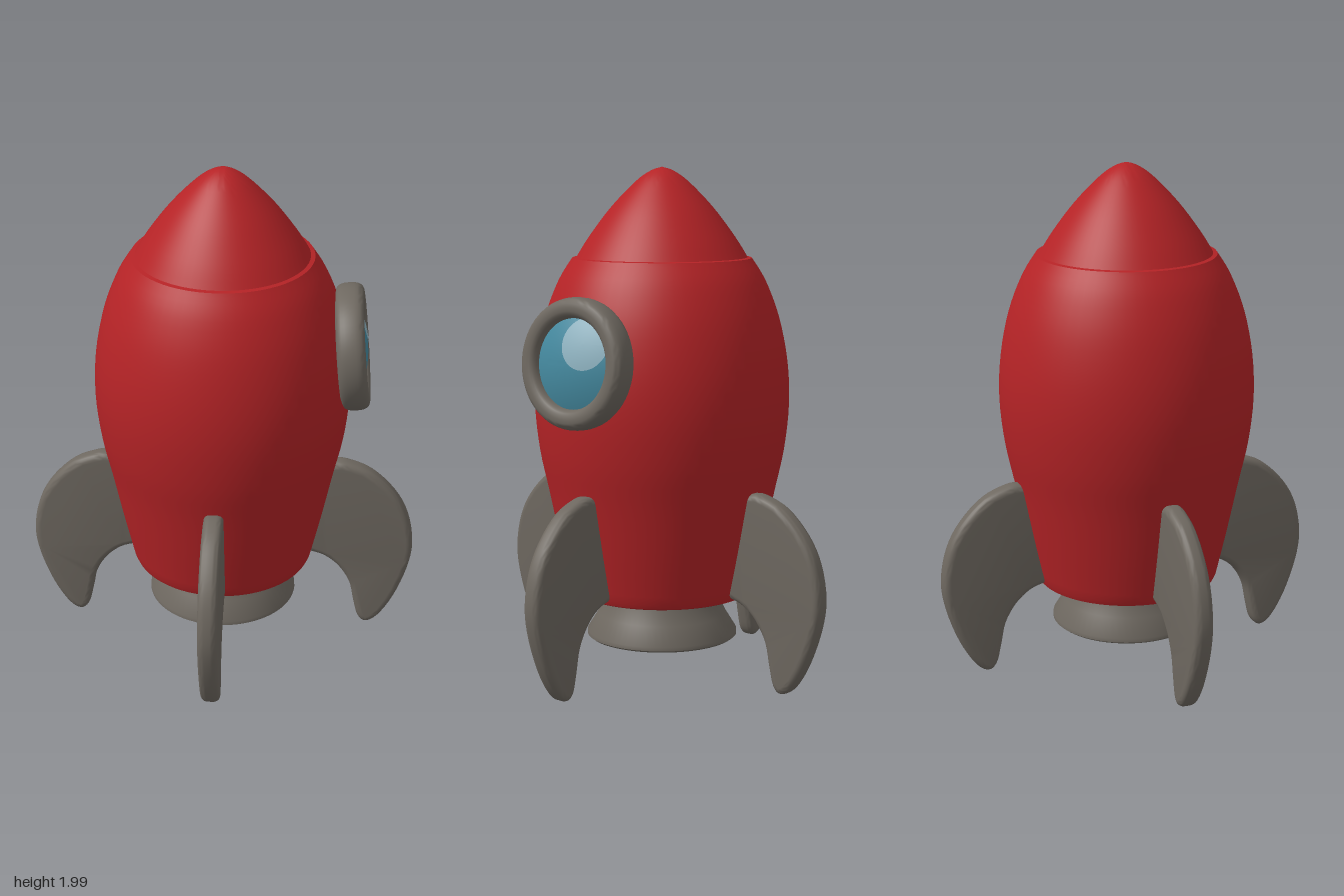
import * as THREE from 'three';
import { toCreasedNormals } from 'three/addons/utils/BufferGeometryUtils.js';

const paint = (name, color) => {
  const m = new THREE.MeshStandardMaterial({ color });
  m.name = name;
  return m;
};

const vec = (pts) => pts.map(([x, y]) => new THREE.Vector2(x, y));
const smooth = (pts, n) => new THREE.SplineCurve(vec(pts)).getPoints(n);

export function createModel() {
  const red = paint('hull red', 0xb52326);
  const grey = paint('metal grey', 0x6e6860);
  const blue = paint('glass blue', 0x458aa0);
  const pale = paint('glass shine', 0x8fb4c2);

  const rocket = new THREE.Group();
  rocket.name = 'rocket';
  const add = (parent, name, geometry, material) => {
    const mesh = new THREE.Mesh(geometry, material);
    mesh.name = name;
    parent.add(mesh);
    return mesh;
  };
  const lathe = (pts, crease = 0.6) => toCreasedNormals(new THREE.LatheGeometry(pts, 64), crease);

  // Hull: closed flat base, rounded lower edge, swelling sides
  const hull = smooth([[0.365, 0.35], [0.405, 0.53], [0.446, 0.73], [0.482, 0.9], [0.5, 1.08],
    [0.492, 1.25], [0.458, 1.42], [0.405, 1.56], [0.35, 1.65]], 32);
  add(rocket, 'hull', lathe([...vec([[0, 0.325], [0.34, 0.325], [0.357, 0.332]]), ...hull,
    ...vec([[0.32, 1.655]])]), red);

  // Nose cone, a hair narrower than the hull's top edge
  add(rocket, 'noseCone', lathe(smooth([[0.338, 1.645], [0.285, 1.73], [0.2, 1.843],
    [0.105, 1.942], [0.045, 1.985], [0, 2]], 20)), red);

  // Hollow engine bell
  add(rocket, 'engineNozzle', lathe(vec([[0, 0.27], [0.17, 0.27], [0.215, 0.21], [0.25, 0.155],
    [0.262, 0.145], [0.29, 0.143], [0.299, 0.15], [0.298, 0.165], [0.255, 0.235],
    [0.225, 0.3], [0.215, 0.34]])), grey);

  // Four curved fins with rounded edges
  const edge = smooth([[0.45, 0.77], [0.5, 0.768], [0.6, 0.727], [0.695, 0.635], [0.752, 0.53],
    [0.776, 0.4], [0.76, 0.28], [0.71, 0.14], [0.65, 0.04], [0.6, 0.008], [0.565, 0.035],
    [0.545, 0.11], [0.525, 0.2], [0.48, 0.275], [0.42, 0.325], [0.36, 0.345]], 60);
  const outline = new THREE.Shape([...vec([[0.29, 0.36], [0.38, 0.765]]), ...edge]);
  const finGeo = new THREE.ExtrudeGeometry(outline, {
    depth: 0.024, bevelEnabled: true, bevelThickness: 0.026, bevelSize: 0.026,
    bevelOffset: -0.026, bevelSegments: 5,
  });
  finGeo.translate(0, 0, -0.012);
  const fin = toCreasedNormals(finGeo, 0.7);
  ['finLeft', 'finBack', 'finRight', 'finFront'].forEach((name, i) => {
    add(rocket, name, fin, grey).rotation.y = i * Math.PI / 2;
  });

  // Porthole on the left side, tilted up to follow the hull
  const porthole = new THREE.Group();
  porthole.name = 'porthole';
  porthole.position.set(0.506, 1.28, 0);
  porthole.rotation.set(0, Math.PI / 2, 0.1, 'ZYX');
  rocket.add(porthole);

  // Frame: softly squared ring
  const section = [];
  for (let i = 0; i <= 24; i++) {
    const a = i / 24 * Math.PI * 2, c = Math.cos(a), s = Math.sin(a);
    section.push(new THREE.Vector2(0.208 + 0.04 * Math.sign(c) * Math.abs(c) ** 0.75,
      -0.002 + 0.055 * Math.sign(s) * Math.abs(s) ** 0.75));
  }
  add(porthole, 'portholeFrame', lathe(section, 0.9).rotateX(Math.PI / 2), grey);

  // Domed glass
  const dome = (r) => 0.056 - 0.045 * (r / 0.19) ** 2;
  const glass = [];
  for (let i = 0; i <= 12; i++) {
    const r = 0.19 * (1 - i / 12);
    glass.push(new THREE.Vector2(r, dome(r)));
  }
  add(porthole, 'portholeGlass', lathe(glass).rotateX(Math.PI / 2), blue);

  // Round shine laid on the dome and clipped at the frame
  const shine = new THREE.RingGeometry(0.0001, 0.098, 40, 8);
  const p = shine.attributes.position;
  for (let i = 0; i < p.count; i++) {
    let x = p.getX(i) + 0.068, y = p.getY(i) + 0.078;
    const r = Math.hypot(x, y), k = Math.min(1, 0.17 / r);
    x *= k;
    y *= k;
    p.setXYZ(i, x, y, dome(r * k) + 0.004);
  }
  shine.computeVertexNormals();
  add(porthole, 'glassShine', shine, pale);

  return rocket;
}
